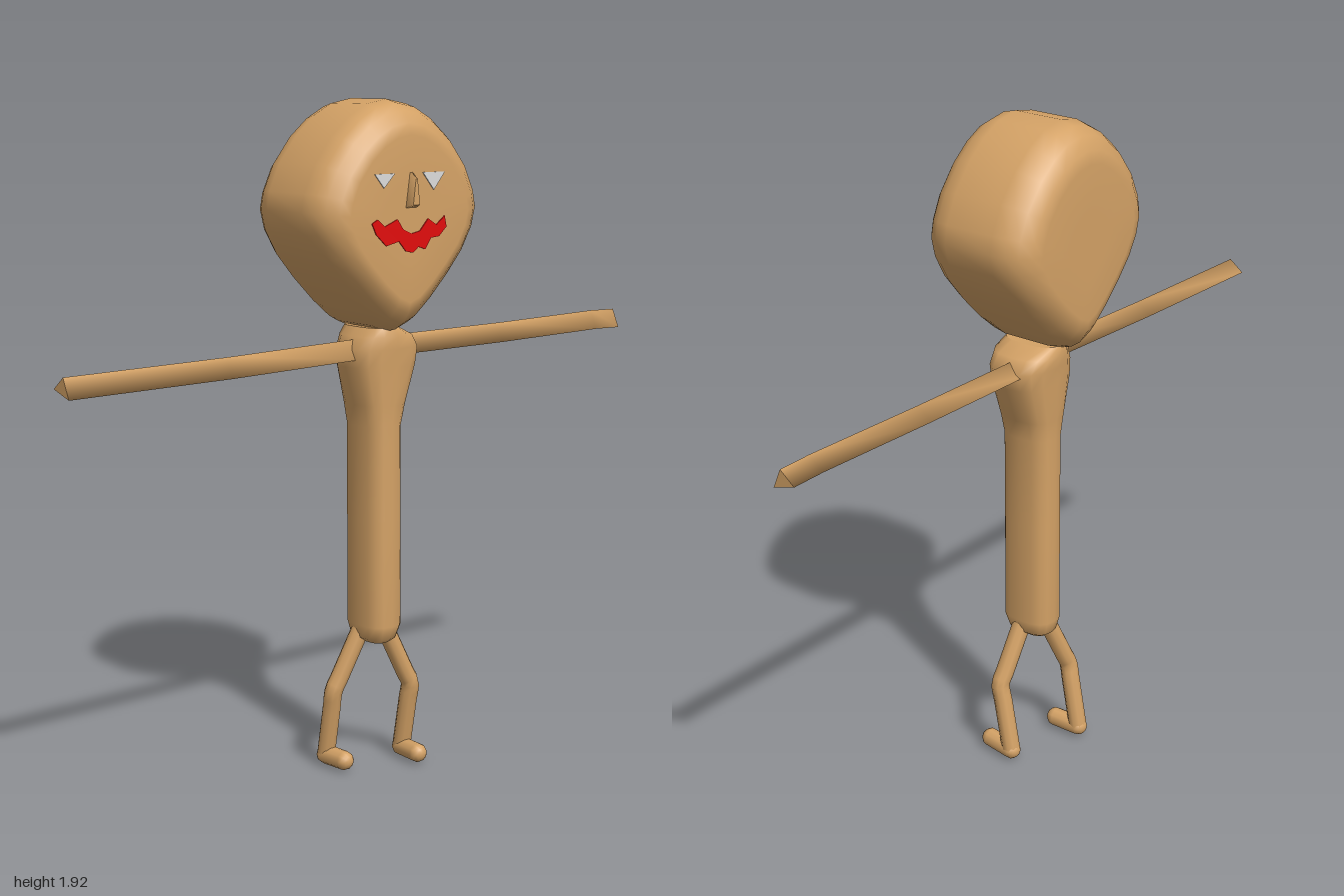
import * as THREE from 'three';

const skin = new THREE.MeshStandardMaterial({ color: 0xd4a266 });
skin.name = 'tan skin';
const red = new THREE.MeshStandardMaterial({ color: 0xe20c0c });
red.name = 'lip red';
const white = new THREE.MeshStandardMaterial({ color: 0xdcdcdc });
white.name = 'eye white';

// Smooth skin over rings of [x, y, z] points, closed by flat ends.
function loft(rings) {
  const n = rings[0].length;
  const pos = rings.flat(2);
  const index = [];
  for (let r = 0; r < rings.length - 1; r++) {
    for (let i = 0; i < n; i++) {
      const a = r * n + i, b = r * n + (i + 1) % n;
      index.push(a, b, b + n, a, b + n, a + n);
    }
  }
  [rings[0], rings[rings.length - 1]].forEach((ring, end) => {
    const base = pos.length / 3;
    pos.push(...ring.flat());
    for (let i = 1; i < n - 1; i++) {
      if (end) index.push(base, base + i, base + i + 1);
      else index.push(base, base + i + 1, base + i);
    }
  });
  const g = new THREE.BufferGeometry();
  g.setAttribute('position', new THREE.Float32BufferAttribute(pos, 3));
  g.setIndex(index);
  g.computeVertexNormals();
  return g;
}

function add(parent, name, geometry, material = skin) {
  const mesh = new THREE.Mesh(geometry, material);
  mesh.name = name;
  parent.add(mesh);
  return mesh;
}

// Thin painted plate on the face, from [x, y] corners.
function plate(points, depth = 0.005) {
  const shape = new THREE.Shape(points.map(([x, y]) => new THREE.Vector2(x, y)));
  return new THREE.ExtrudeGeometry(shape, { depth, bevelEnabled: false }).translate(0, 0, 0.163);
}

function makeHead() {
  // Teardrop outline, right half from chin to crown, then mirrored
  const half = [[0, 1.29], [0.05, 1.31], [0.11, 1.36], [0.18, 1.43], [0.24, 1.5], [0.28, 1.57],
    [0.295, 1.63], [0.285, 1.68], [0.25, 1.755], [0.19, 1.83], [0.13, 1.88], [0.07, 1.912], [0, 1.925]];
  const outline = [...half, ...half.slice(1, -1).reverse().map(([x, y]) => [-x, y])];
  // [z, scale] steps that round the back and front rims
  const steps = [[-0.19, 0.3], [-0.19, 0.68], [-0.183, 0.79], [-0.16, 0.9], [-0.13, 0.965], [-0.09, 1],
    [0.06, 1], [0.1, 0.97], [0.13, 0.91], [0.155, 0.81], [0.165, 0.71], [0.165, 0.3]];
  return loft(steps.map(([z, s]) => outline.map(([x, y]) => [x * s, 1.6 + (y - 1.6) * s, z])));
}

function makeTorso() {
  // [y, xMin, xMax, zMin, zMax]
  const sections = [
    [0.385, -0.015, 0.045, -0.06, 0.04], [0.4, -0.035, 0.065, -0.08, 0.06], [0.44, -0.045, 0.075, -0.09, 0.075],
    [0.75, -0.045, 0.075, -0.09, 0.073], [1.02, -0.045, 0.075, -0.09, 0.073], [1.08, -0.055, 0.092, -0.097, 0.076],
    [1.19, -0.085, 0.135, -0.102, 0.08], [1.24, -0.085, 0.142, -0.105, 0.083], [1.275, -0.065, 0.115, -0.11, 0.085],
    [1.3, -0.045, 0.06, -0.1, 0.075]];
  const squash = v => Math.sign(v) * Math.abs(v) ** 0.75;
  return loft(sections.map(([y, x0, x1, z0, z1]) => Array.from({ length: 16 }, (_, i) => {
    const a = i / 16 * Math.PI * 2;
    return [(x0 + x1) / 2 + squash(Math.sin(a)) * (x1 - x0) / 2, y,
      (z0 + z1) / 2 + squash(Math.cos(a)) * (z1 - z0) / 2];
  })));
}

// Three-sided arm through [x, y, z] offsets, listed from low x to high x
function makeArm(stations) {
  const section = [[0.03, 0.005], [-0.025, 0.03], [-0.005, -0.04]];
  return loft(stations.map(([x, y, z]) => section.map(([dy, dz]) => [x, y + dy, z + dz])));
}

// Bent leg with a forward foot
function makeLeg(name, [hip, knee, ankle, toe]) {
  const leg = new THREE.Group();
  leg.name = name;
  const v = p => new THREE.Vector3(...p);
  const mid = (a, b, t) => v(a).lerp(v(b), t);
  const path = new THREE.CatmullRomCurve3([v(hip), mid(hip, knee, 0.8), v(knee), mid(knee, ankle, 0.25), v(ankle)]);
  add(leg, 'shank', new THREE.TubeGeometry(path, 20, 0.027, 10));
  const dir = v(toe).sub(v(ankle));
  const foot = add(leg, 'foot', new THREE.CapsuleGeometry(0.028, dir.length(), 5, 10));
  foot.position.copy(mid(ankle, toe, 0.5));
  foot.quaternion.setFromUnitVectors(new THREE.Vector3(0, 1, 0), dir.normalize());
  return leg;
}

export function createModel() {
  const model = new THREE.Group();
  model.name = 'figure';

  add(model, 'head', makeHead());
  add(model, 'torso', makeTorso());
  add(model, 'leftArm', makeArm([[0.08, 1.235, -0.02], [0.5, 1.235, -0.02], [0.9, 1.24, -0.02], [1, 1.237, -0.02]]));
  add(model, 'rightArm', makeArm([[-1, 1.225, -0.005], [-0.5, 1.228, -0.005], [-0.06, 1.237, -0.005]]));
  model.add(makeLeg('leftLeg', [[0.045, 0.42, 0.005], [0.128, 0.24, 0.022], [0.132, 0.033, -0.02], [0.122, 0.036, 0.063]]));
  model.add(makeLeg('rightLeg', [[-0.015, 0.42, -0.03], [-0.093, 0.24, -0.06], [-0.09, 0.036, -0.1], [-0.087, 0.038, -0.02]]));

  // Face
  add(model, 'leftEye', plate([[0.04, 1.73], [0.08, 1.682], [0.12, 1.73]]), white);
  add(model, 'rightEye', plate([[-0.13, 1.73], [-0.098, 1.692], [-0.06, 1.73]]), white);
  add(model, 'lips', plate([[-0.14, 1.6], [-0.125, 1.57], [-0.09, 1.538], [-0.045, 1.548], [-0.02, 1.52],
    [0.005, 1.515], [0.025, 1.53], [0.05, 1.522], [0.07, 1.552], [0.1, 1.555], [0.127, 1.58], [0.12, 1.61],
    [0.09, 1.587], [0.06, 1.605], [0.03, 1.573], [0, 1.567], [-0.03, 1.58], [-0.05, 1.608], [-0.095, 1.59],
    [-0.12, 1.61]]), red);
  add(model, 'nose', loft([
    [[-0.02, 1.635, 0.16], [0.02, 1.635, 0.16], [0.005, 1.735, 0.16], [-0.005, 1.735, 0.16]],
    [[-0.012, 1.645, 0.188], [0.012, 1.645, 0.188], [0.003, 1.715, 0.188], [-0.003, 1.715, 0.188]]]));
  return model;
}
